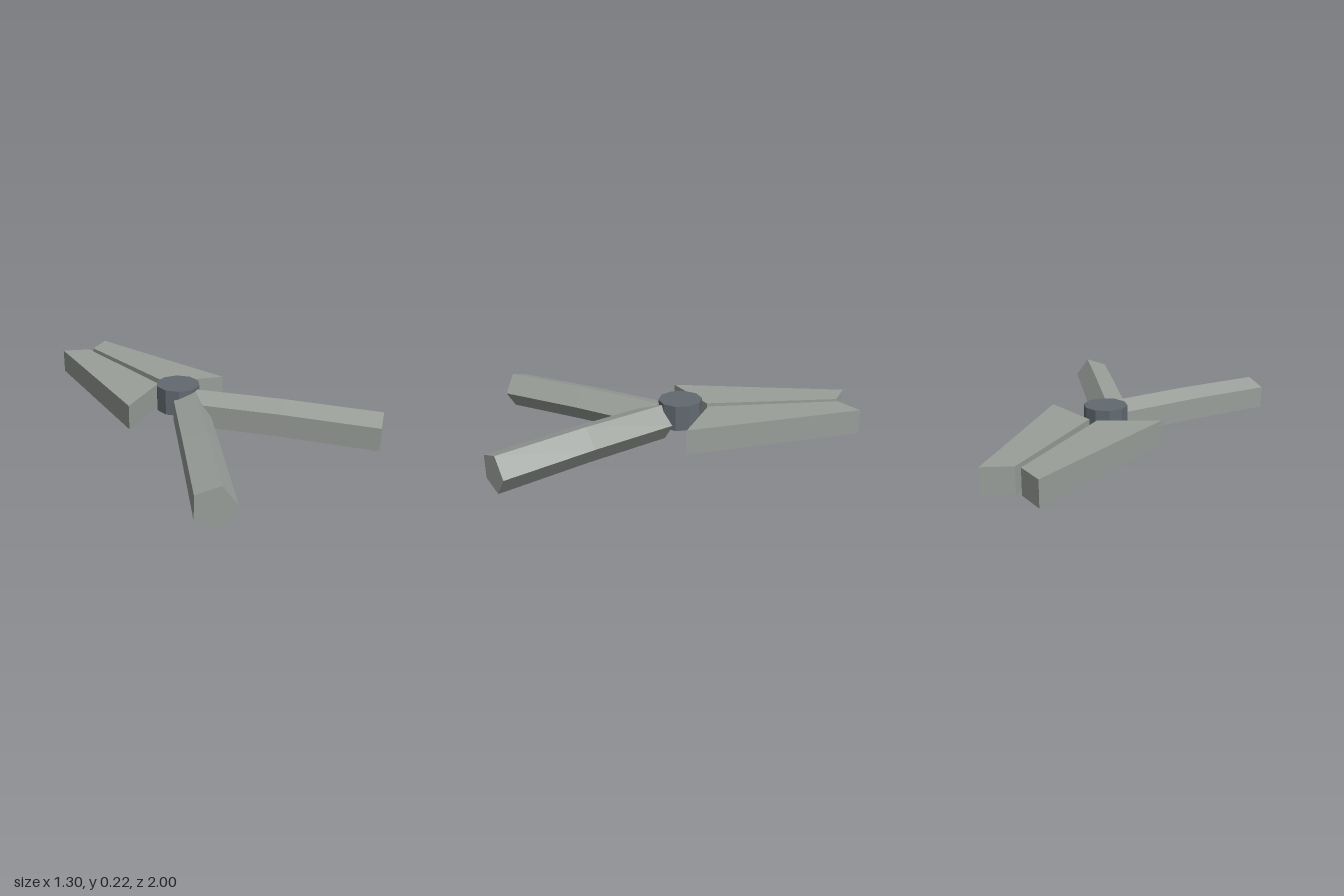
import * as THREE from 'three';

const steel = new THREE.MeshStandardMaterial({ color: 0x9a9f9a });
steel.name = 'grey steel';
const dark = new THREE.MeshStandardMaterial({ color: 0x626a71 });
dark.name = 'dark slate';

const CX = -0.011; // symmetry line of the tool

function addMesh(group, name, geometry, material) {
  const flat = geometry.index ? geometry.toNonIndexed() : geometry;
  flat.computeVertexNormals();
  const mesh = new THREE.Mesh(flat, material);
  mesh.name = name;
  group.add(mesh);
  return mesh;
}

// Five-sided bar with a very slight upward bow at its middle joint
function handleGeometry(angle) {
  const length = 1.018;
  const g = new THREE.CylinderGeometry(0.107, 0.107, length, 5, 2, false, Math.PI / 2);
  g.rotateX(Math.PI / 2);
  const p = g.attributes.position;
  for (let i = 0; i < p.count; i++) {
    p.setY(i, p.getY(i) + 0.006 * (1 - Math.abs(2 * p.getZ(i) / length)));
  }
  return g.rotateY(angle);
}

// Tapered plate outline, drawn in x and -z, then laid flat
function bladeGeometry(side) {
  const outline = [[0.016, 0.918], [0.023, 0.173], [0.335, 0.02], [0.157, 1]];
  const shape = new THREE.Shape(outline.map(([x, y]) => new THREE.Vector2(side * x, y)));
  const g = new THREE.ExtrudeGeometry(shape, { depth: 0.138, bevelEnabled: false });
  return g.rotateX(-Math.PI / 2);
}

export function createModel() {
  const model = new THREE.Group();
  model.name = 'openShears';

  for (const [label, side] of [['left', 1], ['right', -1]]) {
    const blade = addMesh(model, label + 'Blade', bladeGeometry(side), steel);
    blade.position.set(CX, 0.037, 0);

    const handle = addMesh(model, label + 'Handle', handleGeometry(side * 0.583), steel);
    handle.position.set(side * 0.29 - 0.009, 0.102, 0.513);
  }

  // Pivot where the handles meet
  const pivot = addMesh(model, 'pivot', new THREE.CylinderGeometry(0.122, 0.122, 0.143, 10), dark);
  pivot.position.set(CX, 0.147, -0.02);

  return model;
}
